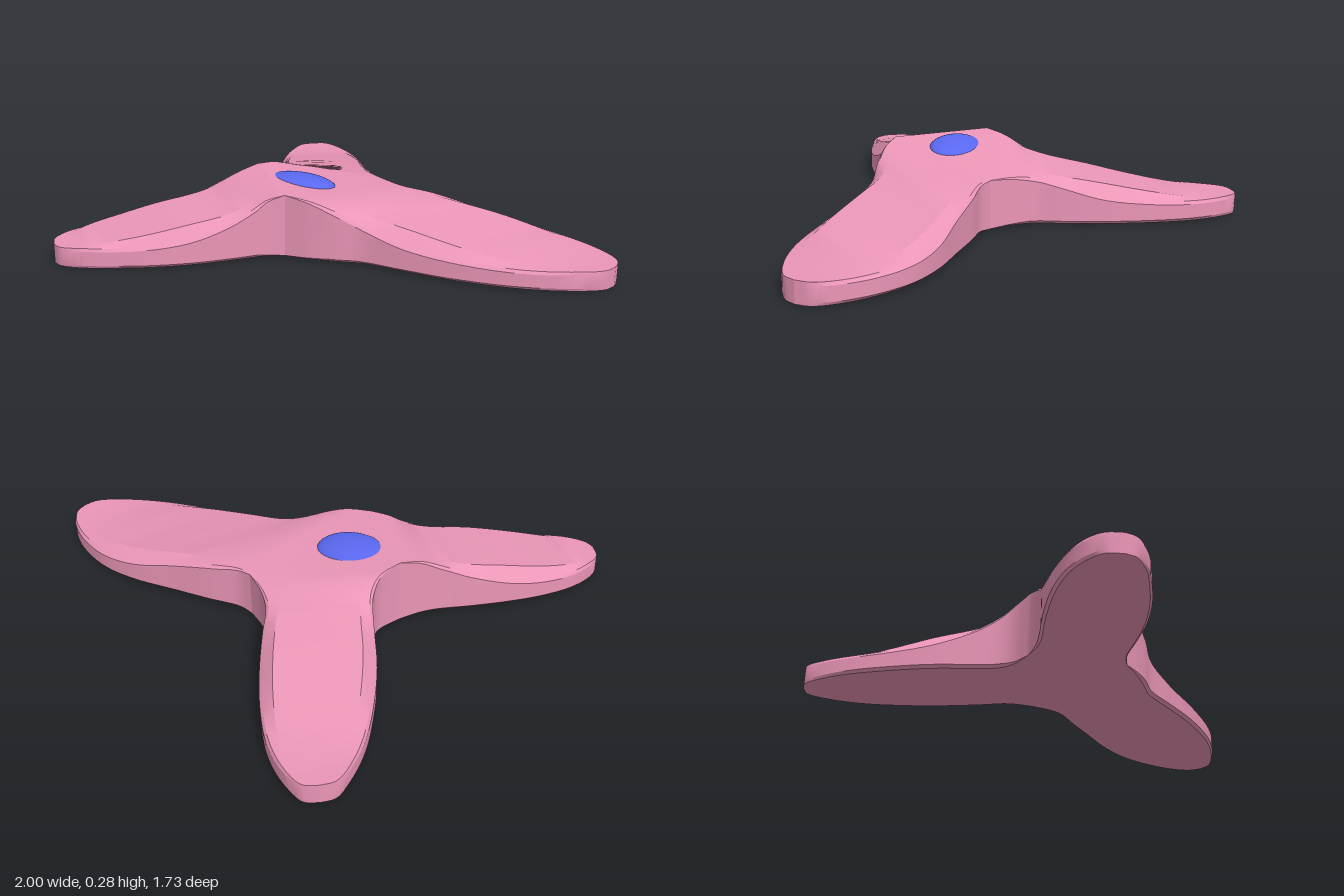
import * as THREE from 'three';
import { toCreasedNormals } from 'three/addons/utils/BufferGeometryUtils.js';

const V = (x, y, z) => new THREE.Vector3(x, y, z);
const STEPS = 40;

// Share of the crest's height that the rim keeps, from hub to tip
const RIM = [1, 1, 0.95, 0.78, 0.45, 0.3, 0.3, 1, 1, 1];

// Smooth edge through [x, z, crest height] points, sampled hub to tip
function edge(points) {
  const crest = new THREE.CatmullRomCurve3(points.map(([x, z, y]) => V(x, y, z)));
  const rim = new THREE.CatmullRomCurve3(points.map(([x, z, y], i) => V(x, 0.078 + (y - 0.078) * RIM[i], z)));
  return (t) => ({ crest: crest.getPoint(t), rim: rim.getPoint(t) });
}

// Arm lofted from closed cross-sections between its left and right edges
function addArm(out, leftPoints, rightPoints) {
  const left = edge(leftPoints), right = edge(rightPoints);
  const rows = [];
  for (let i = 0; i <= STEPS; i++) {
    const t = i / STEPS, grow = Math.min(1, t * 5);
    const half = (a, b) => {
      const at = (k, y) => V(a.rim.x + (b.rim.x - a.rim.x) * k, y, a.rim.z + (b.rim.z - a.rim.z) * k);
      const floor = 0.01 * (1 - t), slope = (b.crest.y - a.crest.y) * 0.12;
      return [
        at(0.03 * grow, floor), at(0, floor + 0.012 * grow),
        at(0, a.rim.y - 0.012 * grow), at(0.025 * grow, a.rim.y),
        at(0.12, a.crest.y + slope),
      ];
    };
    rows.push([...half(left(t), right(t)), ...half(right(t), left(t)).reverse()]);
  }
  const n = rows[0].length;
  for (let i = 0; i < STEPS; i++) {
    for (let j = 0; j < n; j++) {
      const k = (j + 1) % n;
      const a = rows[i][j], b = rows[i][k], c = rows[i + 1][j], d = rows[i + 1][k];
      out.push(a, b, c, b, d, c);
    }
  }
}

export function createModel() {
  const group = new THREE.Group();

  // Three high notches where neighbouring arms meet: [x, z, height]
  const A = [-0.345, -0.03, 0.278], B = [0.03, 0.09, 0.265], C = [0, -0.49, 0.197];
  const tris = [];

  // Back right arm
  addArm(tris,
    [A, [-0.36, -0.13, 0.265], [-0.40, -0.19, 0.235], [-0.48, -0.24, 0.2], [-0.62, -0.32, 0.16],
      [-0.75, -0.42, 0.12], [-0.87, -0.53, 0.09], [-0.95, -0.63, 0.08], [-1.0, -0.73, 0.08], [-0.985, -0.79, 0.08]],
    [C, [-0.1, -0.5, 0.195], [-0.19, -0.53, 0.19], [-0.27, -0.59, 0.18], [-0.4, -0.68, 0.155],
      [-0.56, -0.77, 0.12], [-0.72, -0.835, 0.09], [-0.86, -0.855, 0.08], [-0.95, -0.84, 0.08], [-0.985, -0.79, 0.08]]);

  // Back left arm
  addArm(tris,
    [C, [0.06, -0.51, 0.195], [0.15, -0.58, 0.188], [0.3, -0.68, 0.165], [0.45, -0.78, 0.135],
      [0.6, -0.845, 0.105], [0.77, -0.865, 0.085], [0.9, -0.845, 0.08], [0.96, -0.81, 0.08], [0.99, -0.76, 0.08]],
    [B, [0.12, 0.035, 0.25], [0.2, -0.03, 0.22], [0.27, -0.1, 0.19], [0.42, -0.18, 0.16],
      [0.6, -0.28, 0.125], [0.8, -0.43, 0.088], [0.93, -0.58, 0.08], [0.995, -0.7, 0.08], [0.99, -0.76, 0.08]]);

  // Front arm
  addArm(tris,
    [B, [-0.005, 0.15, 0.245], [-0.02, 0.2, 0.22], [-0.05, 0.3, 0.185], [-0.1, 0.44, 0.16],
      [-0.17, 0.58, 0.13], [-0.25, 0.7, 0.105], [-0.33, 0.8, 0.085], [-0.41, 0.86, 0.08], [-0.46, 0.863, 0.08]],
    [A, [-0.36, 0.06, 0.255], [-0.39, 0.14, 0.225], [-0.44, 0.25, 0.19], [-0.5, 0.4, 0.16],
      [-0.54, 0.53, 0.13], [-0.56, 0.66, 0.105], [-0.55, 0.76, 0.085], [-0.52, 0.83, 0.08], [-0.46, 0.863, 0.08]]);

  // Tilted hub triangle and its underside
  tris.push(...[A, B, C].map(([x, z, y]) => V(x, y, z)));
  tris.push(...[A, C, B].map(([x, z]) => V(x, 0.01, z)));

  const bodyGeometry = toCreasedNormals(new THREE.BufferGeometry().setFromPoints(tris), 0.35);
  const body = new THREE.Mesh(bodyGeometry, new THREE.MeshStandardMaterial({ color: 0xeb96b8 }));
  body.name = 'threeArmedBody';
  group.add(body);

  // Oval dome set into the hub, leaning with its slope
  const dome = new THREE.Mesh(new THREE.SphereGeometry(1, 40, 24), new THREE.MeshStandardMaterial({ color: 0x5a68f0 }));
  dome.name = 'centreDome';
  dome.scale.set(0.14, 0.035, 0.098);
  dome.rotation.set(-0.14, 0.55, 0);
  dome.position.set(-0.125, 0.24, -0.11);
  group.add(dome);

  return group;
}
